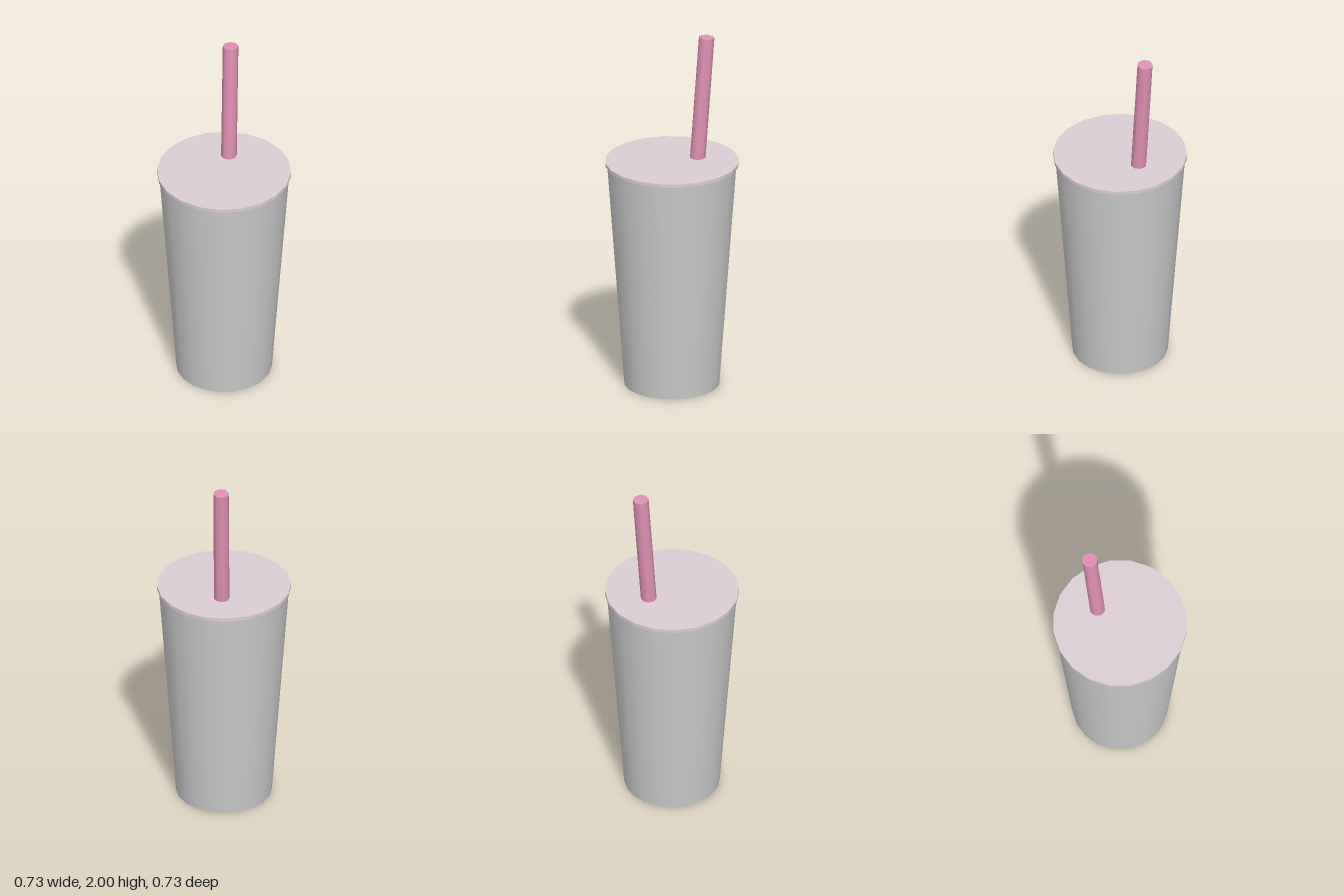
import * as THREE from 'three';

const SIDES = 20;

function part(name, geometry, color) {
  const mesh = new THREE.Mesh(geometry, new THREE.MeshStandardMaterial({ color }));
  mesh.name = name;
  return mesh;
}

export function createModel() {
  const model = new THREE.Group();
  model.name = 'drinkCup';

  // Tapered cup body, closed at the base
  const cup = part('cup', new THREE.CylinderGeometry(0.357, 0.262, 1.285, SIDES), 0xcccccc);
  cup.position.y = 0.6425;
  model.add(cup);

  // Thin flat lid overhanging the rim
  const lid = part('lid', new THREE.CylinderGeometry(0.367, 0.367, 0.02, SIDES), 0xdccdd4);
  lid.position.y = 1.29;
  model.add(lid);

  // Straw leaning right and back, continuing down into the cup
  const top = new THREE.Vector3(0.175, 1.997, -0.097);
  const bottom = new THREE.Vector3(0.098, 0.8, -0.054);
  const axis = top.clone().sub(bottom);
  const straw = part('straw', new THREE.CylinderGeometry(0.043, 0.043, axis.length(), 8), 0xe091b3);
  straw.position.copy(top).add(bottom).multiplyScalar(0.5);
  straw.quaternion.setFromUnitVectors(new THREE.Vector3(0, 1, 0), axis.normalize());
  model.add(straw);

  return model;
}
